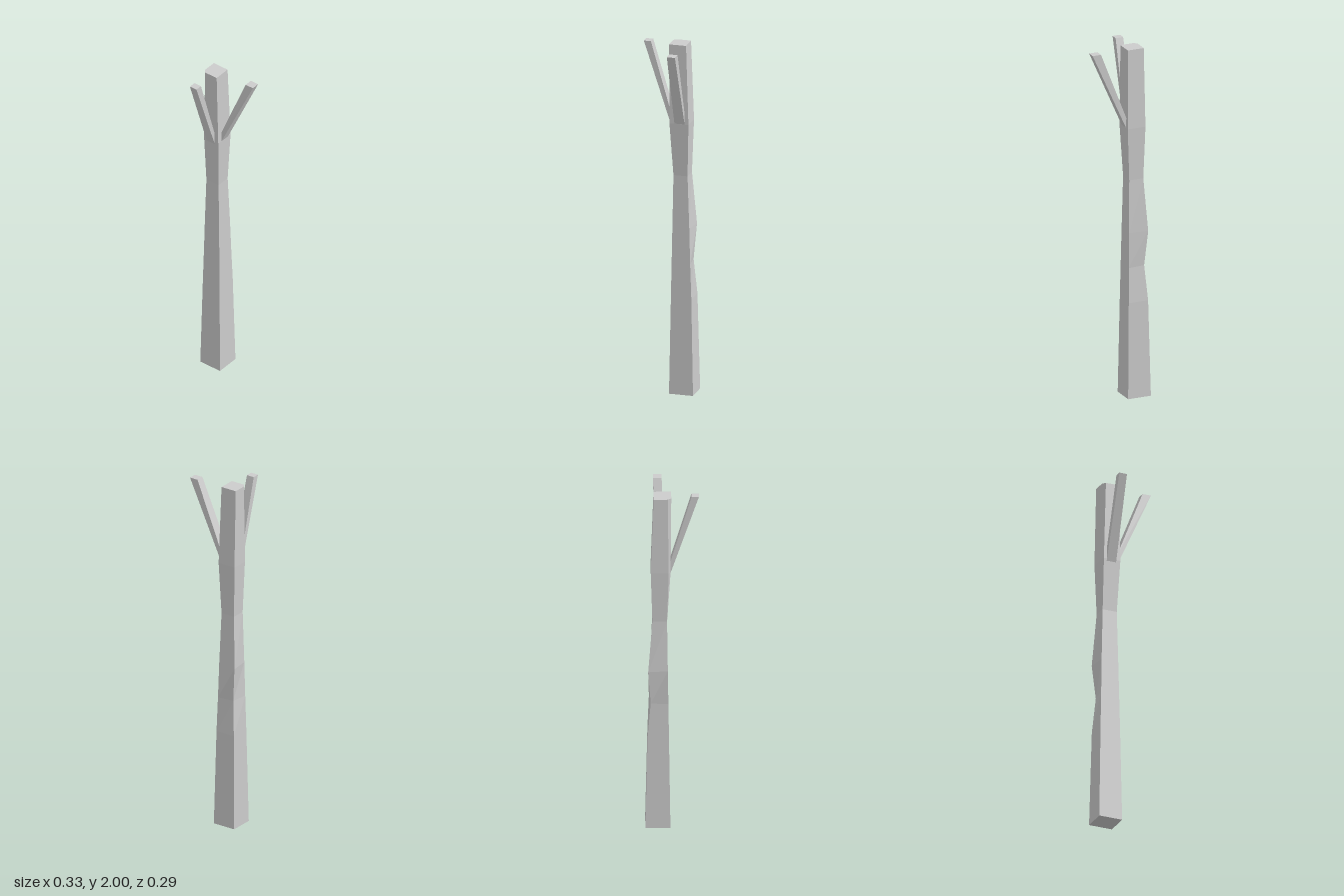
import * as THREE from 'three';

const material = new THREE.MeshStandardMaterial({ color: 0xcccccc, flatShading: true });

// Skin a stack of rings (each counterclockwise from above) and cap both ends.
function loft(name, rings) {
  const n = rings[0].length;
  const last = rings.length - 1;
  const pos = [];
  const tri = (a, b, c) => pos.push(...a, ...b, ...c);
  for (let r = 0; r < last; r++) {
    for (let i = 0; i < n; i++) {
      const j = (i + 1) % n;
      const a = rings[r][i], b = rings[r][j], c = rings[r + 1][j], d = rings[r + 1][i];
      tri(a, b, c);
      tri(a, c, d);
    }
  }
  for (let i = 1; i < n - 1; i++) {
    tri(rings[0][0], rings[0][i + 1], rings[0][i]);
    tri(rings[last][0], rings[last][i], rings[last][i + 1]);
  }
  const geometry = new THREE.BufferGeometry();
  geometry.setAttribute('position', new THREE.Float32BufferAttribute(pos, 3));
  geometry.computeVertexNormals();
  const mesh = new THREE.Mesh(geometry, material);
  mesh.name = name;
  return mesh;
}

// Trunk ring: a rectangle whose back corner can be moved and front corner cut.
function trunkRing({ y, x0, x1, z0, z1, corner = [x0, z0], cut = 0 }) {
  return [
    [x1, y, z1], [x1, y, z0], [corner[0], y, corner[1]],
    [x0, y, z1 - cut * 1.3], [x0 + cut, y, z1],
  ];
}

export function createModel() {
  const group = new THREE.Group();
  group.name = 'tree';

  // Trunk: tapers to a waist, flares at the fork, with a notch in one corner
  const trunk = [
    { y: 0, x0: -0.165, x1: -0.029, z0: -0.146, z1: -0.01 },
    { y: 0.55, x0: -0.154, x1: -0.038, z0: -0.134, z1: -0.018 },
    { y: 0.75, x0: -0.149, x1: -0.042, z0: -0.126, z1: -0.021, corner: [-0.138, -0.117] },
    { y: 0.95, x0: -0.145, x1: -0.046, z0: -0.12, z1: -0.024, corner: [-0.156, -0.131] },
    { y: 1.25, x0: -0.137, x1: -0.053, z0: -0.108, z1: -0.028 },
    { y: 1.55, x0: -0.146, x1: -0.04, z0: -0.117, z1: -0.009, cut: 0.008 },
    { y: 2, x0: -0.143, x1: -0.048, z0: -0.101, z1: -0.005, cut: 0.015 },
  ];
  group.add(loft('trunk', trunk.map(trunkRing)));

  // Side branch, leaning out to +x
  group.add(loft('sideBranch', [
    [[-0.045, 1.54, -0.037], [-0.045, 1.54, -0.095], [-0.045, 1.6, -0.095], [-0.045, 1.6, -0.037]],
    [[0.163, 2, -0.055], [0.163, 2, -0.101], [0.113, 2, -0.101], [0.113, 2, -0.055]],
  ]));

  // Front branch, leaning out to +z
  group.add(loft('frontBranch', [
    [[-0.065, 1.53, -0.012], [-0.065, 1.6, -0.012], [-0.121, 1.6, -0.012], [-0.121, 1.53, -0.012]],
    [[-0.07, 2, 0.145], [-0.07, 2, 0.105], [-0.115, 2, 0.105], [-0.115, 2, 0.145]],
  ]));

  return group;
}
